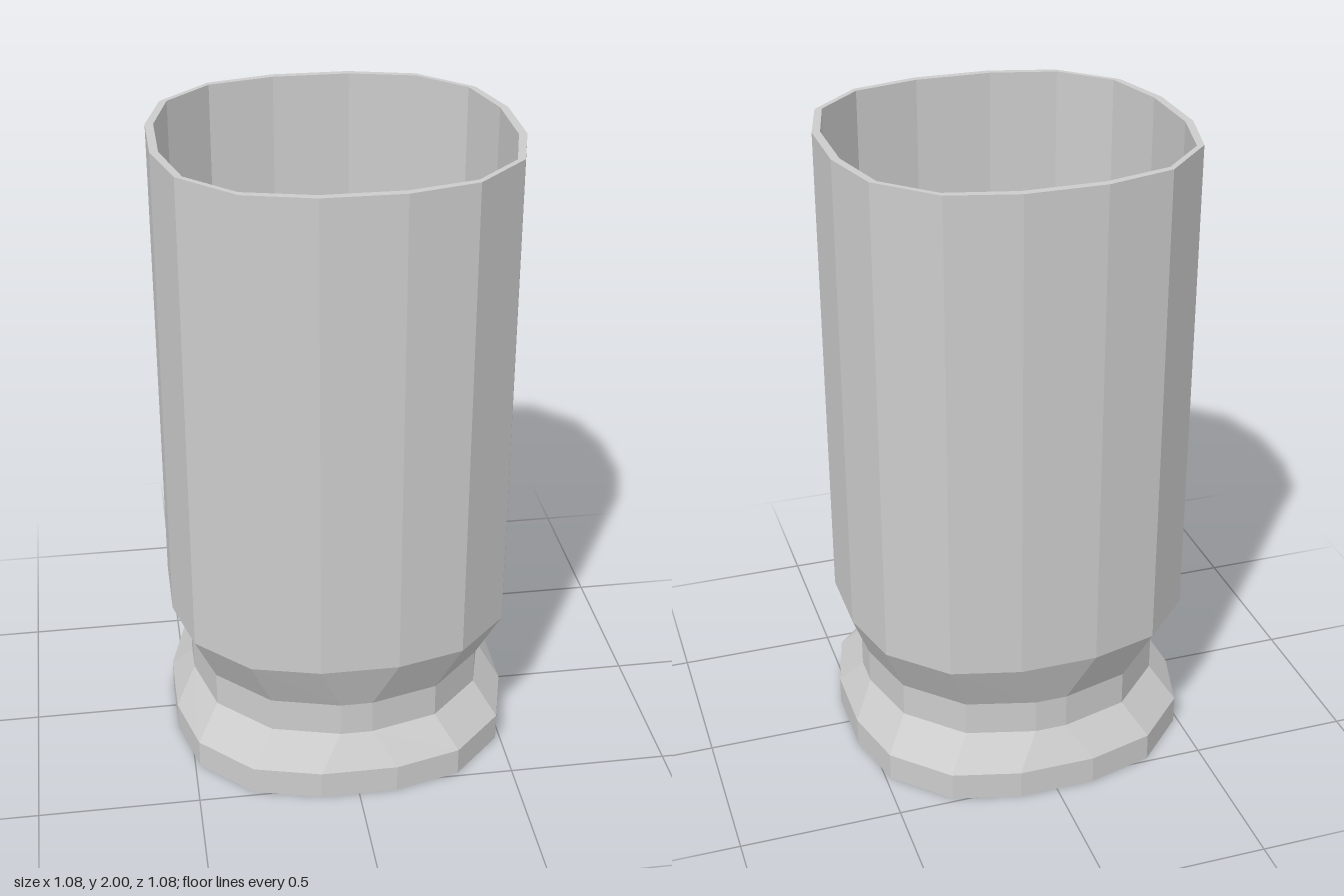
import * as THREE from 'three';

// Sixteen-sided rounded-square ring from two corner offsets, mirrored round the axis
function ring(y, a, b, c, d) {
  const quarter = [[a, b], [c, d], [d, c], [b, a]];
  const points = [];
  for (let q = 0; q < 4; q++) {
    for (const [x, z] of quarter) {
      const p = [[x, z], [-z, x], [-x, -z], [z, -x]][q];
      points.push(new THREE.Vector3(p[0], y, p[1]));
    }
  }
  return points;
}

// Joins successive rings with quads; a ring of radius zero closes a cap
function skin(name, rings, material) {
  const positions = [];
  const tri = (...v) => v.forEach((p) => positions.push(p.x, p.y, p.z));
  for (let r = 0; r < rings.length - 1; r++) {
    const lo = rings[r], hi = rings[r + 1], n = lo.length;
    const loTip = lo[0].distanceTo(lo[1]) < 1e-6;
    const hiTip = hi[0].distanceTo(hi[1]) < 1e-6;
    for (let i = 0; i < n; i++) {
      const j = (i + 1) % n;
      if (!hiTip) tri(lo[i], hi[i], hi[j]);
      if (!loTip) tri(lo[i], hi[j], lo[j]);
    }
  }
  const geometry = new THREE.BufferGeometry();
  geometry.setAttribute('position', new THREE.Float32BufferAttribute(positions, 3));
  geometry.computeVertexNormals();
  const mesh = new THREE.Mesh(geometry, material);
  mesh.name = name;
  return mesh;
}

export function createModel() {
  const group = new THREE.Group();
  group.name = 'casing';
  const material = new THREE.MeshStandardMaterial({ color: 0xcccccc, flatShading: true });

  const full = (y) => ring(y, 0.54, 0.12, 0.485, 0.327);
  const neck = (y) => ring(y, 0.475, 0.05, 0.418, 0.26);
  const bore = (y) => ring(y, 0.515, 0.12, 0.463, 0.325);
  const pocket = (y) => ring(y, 0.1, 0.022, 0.09, 0.06);
  const centre = (y) => ring(y, 0, 0, 0, 0);

  // Base disc with a shallow pocket underneath
  group.add(skin('baseRim', [centre(0.03), pocket(0.03), pocket(0), full(0), full(0.09)], material));

  // Chamfer, groove and flare above the rim
  group.add(skin('groove', [full(0.09), neck(0.19), neck(0.3), full(0.475)], material));

  // Tall outer wall, thin lip, inner wall and floor
  group.add(skin('hollowBody', [full(0.475), full(2), bore(2), bore(0.48), centre(0.48)], material));

  return group;
}
